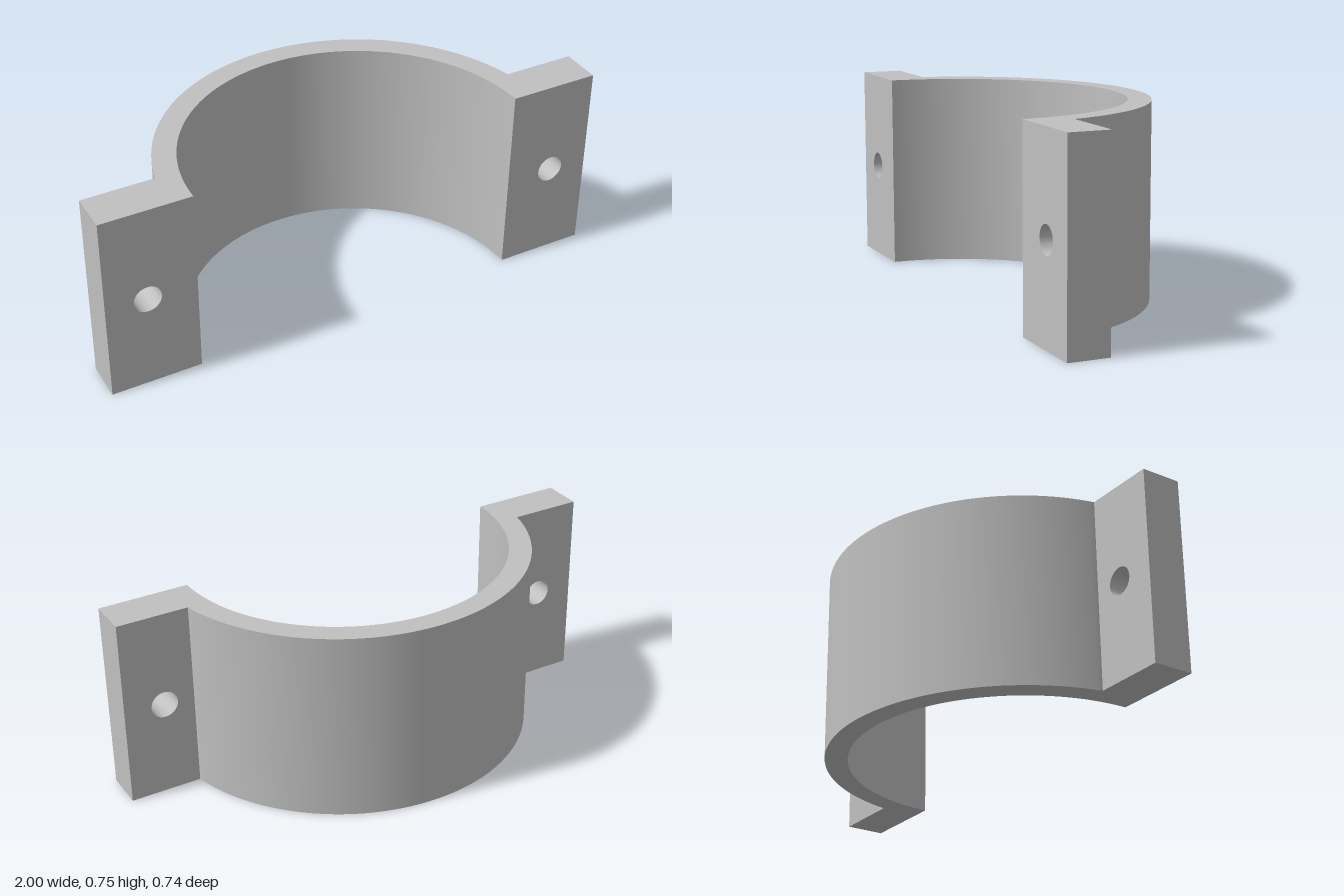
import * as THREE from 'three';
import { toCreasedNormals } from 'three/addons/utils/BufferGeometryUtils.js';

const HEIGHT = 0.75;
const FRONT = 0.369;        // z of the mounting plane, also the arc centre
const INNER = 0.65;
const OUTER = 0.738;
const THICK = 0.158;        // flange thickness
const HOLE_X = 0.84;
const HOLE_R = 0.053;

const extrude = (shape, depth) => toCreasedNormals(
  new THREE.ExtrudeGeometry(shape, { depth, bevelEnabled: false, curveSegments: 48 }), 0.5);

export function createModel() {
  const group = new THREE.Group();
  group.name = 'pipeClamp';
  const steel = new THREE.MeshStandardMaterial({ color: 0xc0c0c0 });
  steel.name = 'grey steel';

  // Where the outer arc meets the back of the flanges
  const angle = Math.asin(THICK / OUTER);
  const joinX = OUTER * Math.cos(angle);

  // Half-round strap, drawn in plan and extruded upwards
  const plan = new THREE.Shape();
  plan.moveTo(INNER, 0);
  plan.lineTo(joinX, 0);
  plan.lineTo(joinX, THICK);
  plan.absarc(0, 0, OUTER, angle, Math.PI - angle, false);
  plan.lineTo(-joinX, 0);
  plan.lineTo(-INNER, 0);
  plan.absarc(0, 0, INNER, Math.PI, 0, true);
  const strap = new THREE.Mesh(extrude(plan, HEIGHT), steel);
  strap.name = 'strap';
  strap.rotation.x = -Math.PI / 2;
  strap.position.z = FRONT;
  group.add(strap);

  // Flanges with a bolt hole through each
  for (const side of [1, -1]) {
    const a = Math.min(side * joinX, side), b = Math.max(side * joinX, side);
    const face = new THREE.Shape();
    face.moveTo(a, 0);
    face.lineTo(b, 0);
    face.lineTo(b, HEIGHT);
    face.lineTo(a, HEIGHT);
    face.closePath();
    const hole = new THREE.Path();
    hole.absarc(side * HOLE_X, HEIGHT / 2, HOLE_R, 0, Math.PI * 2, true);
    face.holes.push(hole);
    const flange = new THREE.Mesh(extrude(face, THICK), steel);
    flange.name = side > 0 ? 'leftFlange' : 'rightFlange';
    flange.position.z = FRONT - THICK;
    group.add(flange);
  }
  return group;
}
